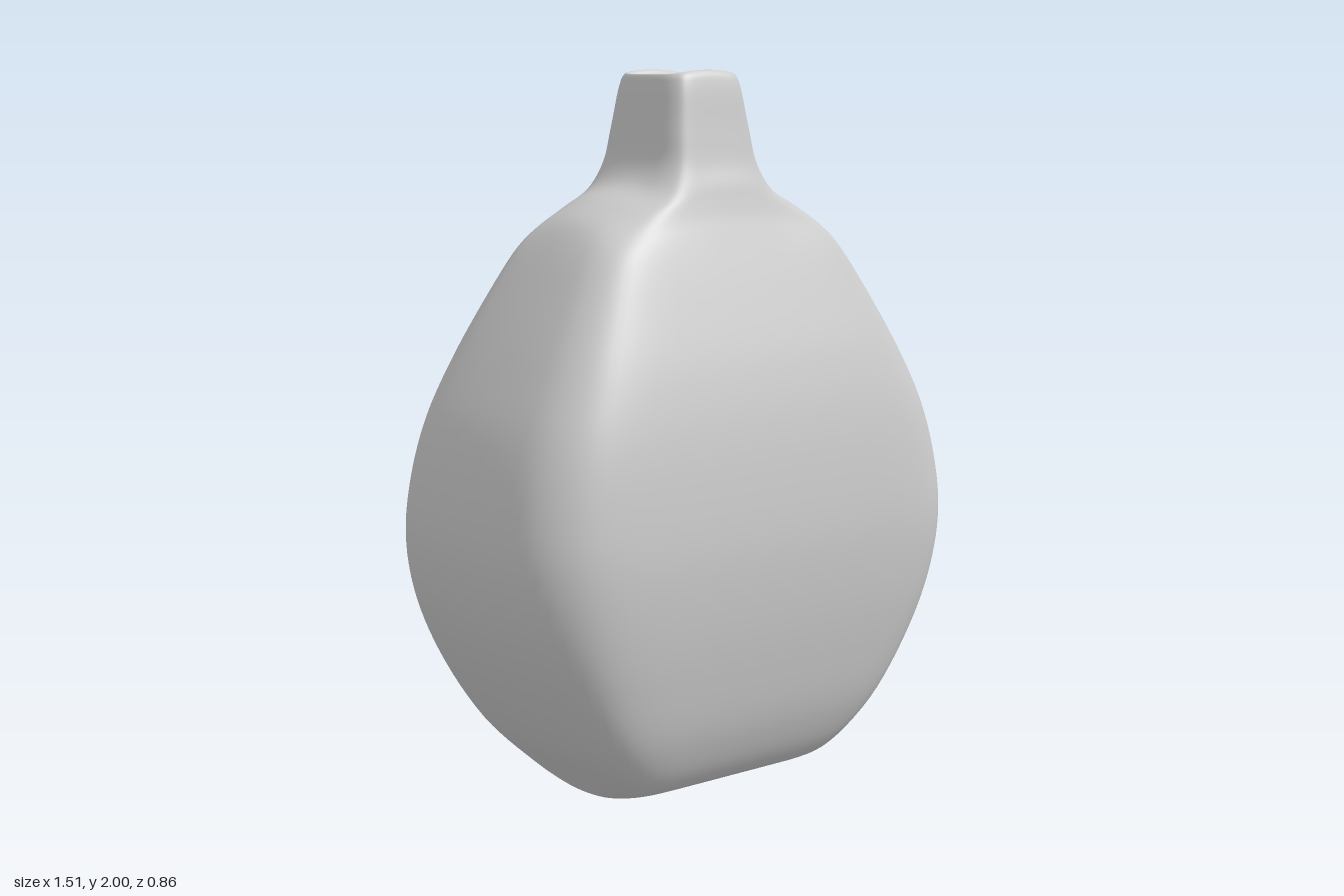
import * as THREE from 'three';

const AROUND = 80, ALONG = 150;

// Rounded-rectangle cross-section with unit half sizes, mirrored from one quarter
function unitSection() {
  const quarter = [[1, 0], [0.985, 0.5], [0.955, 0.7], [0.89, 0.85], [0.8, 0.945], [0.66, 0.99], [0.35, 1]];
  const pts = [];
  const add = (x, z) => pts.push(new THREE.Vector3(x, 0, z));
  quarter.forEach(([x, z]) => add(x, z));
  add(0, 1);
  quarter.slice().reverse().forEach(([x, z]) => add(-x, z));
  quarter.slice(1).forEach(([x, z]) => add(-x, -z));
  add(0, -1);
  quarter.slice(1).reverse().forEach(([x, z]) => add(x, -z));
  const curve = new THREE.CatmullRomCurve3(pts, true);
  return Array.from({ length: AROUND }, (_, i) => curve.getPoint(i / AROUND));
}

// Lofts the section along a profile of [half width, height, half depth]
function loft(profile, bend) {
  const curve = new THREE.CatmullRomCurve3(profile.map(p => new THREE.Vector3(...p)));
  const section = unitSection();
  const positions = [], index = [];
  for (let j = 0; j <= ALONG; j++) {
    const p = curve.getPoint(j / ALONG);
    for (const s of section) {
      positions.push(s.x * p.x, p.y - bend(s, p), s.z * p.z);
    }
  }
  for (let j = 0; j < ALONG; j++) {
    for (let i = 0; i < AROUND; i++) {
      const k = (i + 1) % AROUND;
      const a = j * AROUND + i, b = j * AROUND + k;
      const c = a + AROUND, d = b + AROUND;
      index.push(a, c, b, b, c, d);
    }
  }
  const geometry = new THREE.BufferGeometry();
  geometry.setAttribute('position', new THREE.Float32BufferAttribute(positions, 3));
  geometry.setIndex(index);
  geometry.computeVertexNormals();
  return geometry;
}

export function createModel() {
  const group = new THREE.Group();
  group.name = 'bottle';

  const profile = [
    // Base, rounded from front to back
    [0.33, 0, 0], [0.35, 0.008, 0.1], [0.365, 0.02, 0.18], [0.41, 0.065, 0.27],
    // Belly
    [0.54, 0.2, 0.347], [0.665, 0.4, 0.395], [0.735, 0.58, 0.42], [0.757, 0.74, 0.428],
    [0.74, 0.9, 0.418], [0.695, 1.06, 0.397], [0.62, 1.22, 0.36], [0.52, 1.4, 0.3],
    // Shoulder
    [0.425, 1.55, 0.245], [0.375, 1.605, 0.225], [0.3, 1.65, 0.212], [0.205, 1.695, 0.2],
    // Neck
    [0.165, 1.75, 0.182], [0.147, 1.84, 0.165], [0.127, 1.96, 0.145],
    // Rim and hollow mouth
    [0.121, 1.99, 0.135], [0.115, 2, 0.122], [0.109, 1.985, 0.11],
    [0.107, 1.9, 0.108], [0.107, 1.72, 0.108], [0.09, 1.7, 0.09], [0, 1.7, 0],
  ];

  // Shoulders arch over from front to back; the rim dips at its two sides
  const bend = (s, p) => {
    const shoulder = Math.exp(-(((p.y - 1.63) / 0.08) ** 2)) * (p.x > 0.15 ? 1 : 0);
    const rim = THREE.MathUtils.smoothstep(p.y, 1.93, 2);
    return 0.05 * shoulder * s.x * s.x * s.z * s.z + 0.012 * rim * s.x * s.x;
  };

  const body = new THREE.Mesh(
    loft(profile, bend),
    new THREE.MeshStandardMaterial({ color: 0xcccccc, side: THREE.DoubleSide })
  );
  body.name = 'bottleBody';
  group.add(body);
  return group;
}
